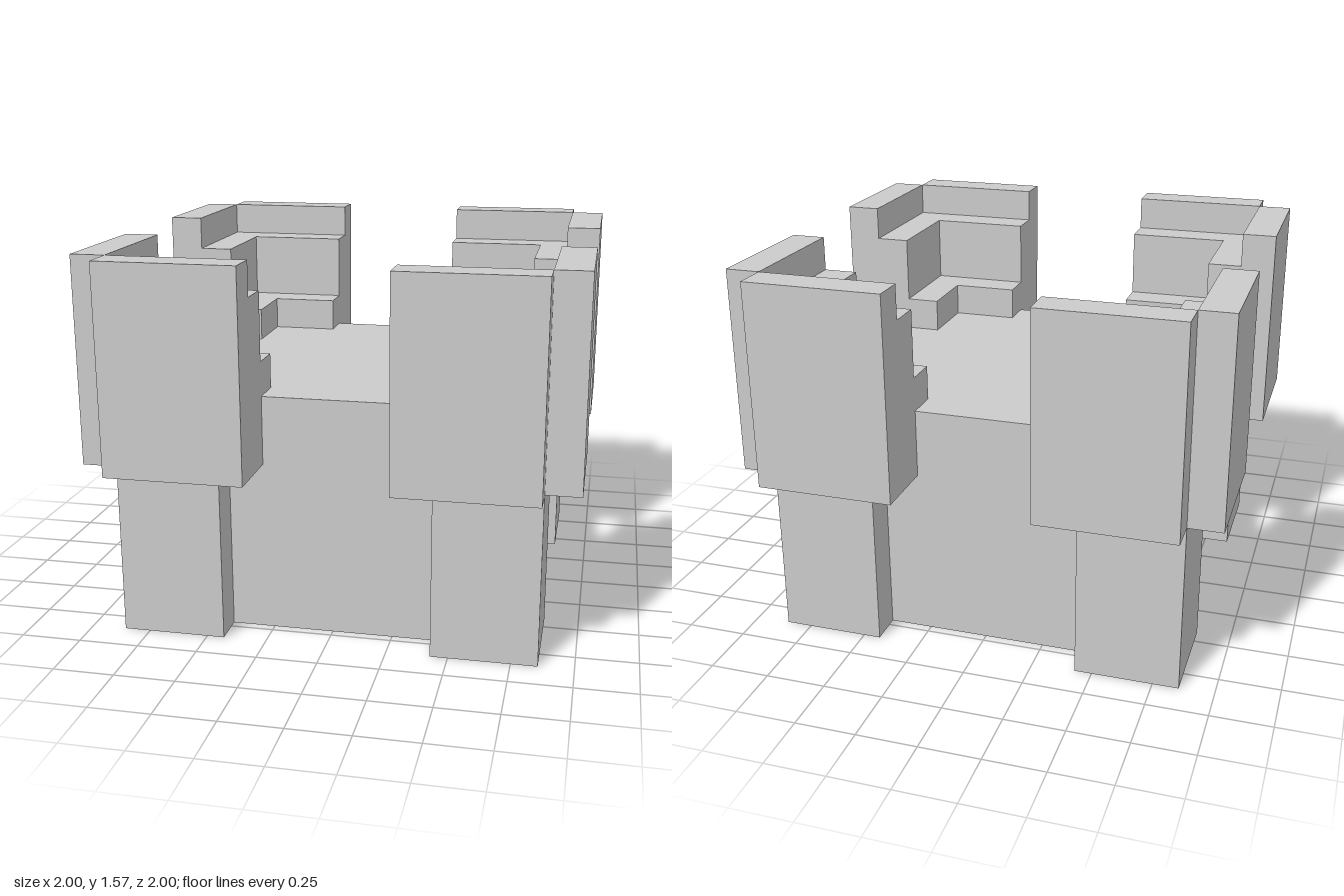
import * as THREE from 'three';

const U = 1 / 7; // grid module all parts share
const material = new THREE.MeshStandardMaterial({ color: 0xcccccc, flatShading: true });

function add(parent, name, geometry) {
  const mesh = new THREE.Mesh(geometry, material);
  mesh.name = name;
  parent.add(mesh);
}

// Box given by its limits in modules
function block(x0, x1, y0, y1, z0, z1) {
  const g = new THREE.BoxGeometry(x1 - x0, y1 - y0, z1 - z0);
  g.translate((x0 + x1) / 2, (y0 + y1) / 2, (z0 + z1) / 2);
  return g.scale(U, U, U);
}

// L-shaped wall around the +x +z corner, legs running back to "end"
function angleWall(end, inner, outer, y0, y1) {
  const points = [
    [end, inner], [inner, inner], [inner, end],
    [outer, end], [outer, outer], [end, outer],
  ].map(([x, z]) => new THREE.Vector2(x, z));
  const g = new THREE.ExtrudeGeometry(new THREE.Shape(points), { depth: y1 - y0, bevelEnabled: false });
  g.rotateX(Math.PI / 2).translate(0, y1, 0);
  return g.scale(U, U, U);
}

// One corner turret: post, two outer plates and the inner steps
function createCorner() {
  const corner = new THREE.Group();
  add(corner, 'cornerPost', angleWall(3, 5, 6, 0, 5));
  add(corner, 'frontPlate', block(2, 6, 5, 11, 6, 7));
  add(corner, 'sidePlate', block(6, 7, 5, 11, 2, 6));
  add(corner, 'upperStep', angleWall(2, 5, 6, 5, 10));
  add(corner, 'lowerStep', angleWall(2, 4, 5, 7, 8));
  return corner;
}

export function createModel() {
  const model = new THREE.Group();
  model.name = 'cornerTurretBlock';

  add(model, 'core', block(-5, 5, 0, 7, -5, 5));

  const names = ['frontLeftCorner', 'backLeftCorner', 'backRightCorner', 'frontRightCorner'];
  names.forEach((name, i) => {
    const corner = createCorner();
    corner.name = name;
    corner.rotation.y = (i * Math.PI) / 2;
    model.add(corner);
  });
  return model;
}
